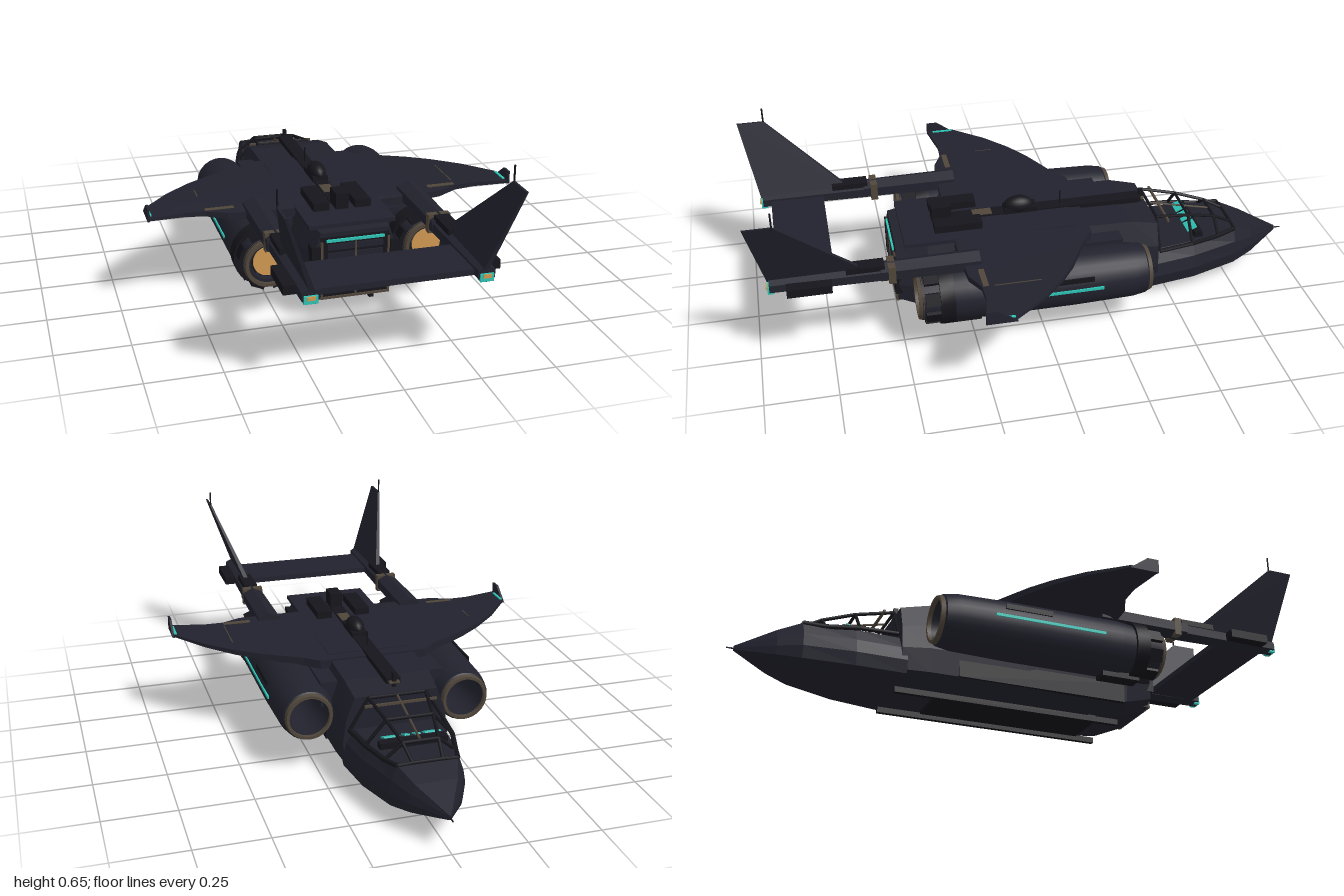
import * as THREE from 'three';
import { toCreasedNormals } from 'three/addons/utils/BufferGeometryUtils.js';

const mat = (name, color) => {
  const m = new THREE.MeshStandardMaterial({ color });
  m.name = name;
  return m;
};

export function createModel() {
  const hull = mat('hull navy', 0x22222e), dark = mat('dark trim', 0x15151b);
  const bronze = mat('bronze trim', 0x50463a), cyan = mat('cyan light', 0x2fc4b6);
  const orange = mat('exhaust glow', 0xd29a52);
  const root = new THREE.Group();
  root.name = 'aircraft';

  const add = (name, geo, m, x = 0, y = 0, z = 0) => {
    const mesh = new THREE.Mesh(geo, m);
    mesh.name = name;
    mesh.position.set(x, y, z);
    root.add(mesh);
    return mesh;
  };
  const box = (name, m, w, h, d, x, y, z) => add(name, new THREE.BoxGeometry(w, h, d), m, x, y, z);
  // cylinder lying along z
  const rod = (name, m, rBack, rFront, len, sides, x, y, z) => {
    const g = new THREE.CylinderGeometry(rBack, rFront, len, sides).rotateX(Math.PI / 2);
    return add(name, toCreasedNormals(g, 0.6), m, x, y, z);
  };
  const bar = (name, m, a, b, r = 0.006) => {
    const p = new THREE.Vector3(...a), q = new THREE.Vector3(...b);
    const mesh = add(name, new THREE.CylinderGeometry(r, r, p.distanceTo(q), 6), m);
    mesh.position.copy(p).lerp(q, 0.5);
    mesh.quaternion.setFromUnitVectors(new THREE.Vector3(0, 1, 0), q.sub(p).normalize());
  };
  const ring = (profile, sides = 28) => toCreasedNormals(
    new THREE.LatheGeometry(profile.map(p => new THREE.Vector2(...p)), sides).rotateX(Math.PI / 2), 0.5);
  const shape = pts => new THREE.Shape(pts.map(p => new THREE.Vector2(...p)));

  // Hull skinned through faceted cross-sections: [z, half width, bottom, top]
  const loft = (name, rows, m) => {
    const rings = rows.map(([z, w, b, t]) => {
      const h = t - b;
      const half = [[0.6 * w, b], [0.95 * w, b + 0.12 * h], [w, b + 0.4 * h], [0.94 * w, b + 0.7 * h], [0.78 * w, t]];
      return [...half, ...half.map(([x, y]) => [-x, y]).reverse()].map(([x, y]) => [x, y, z]);
    });
    const v = [], n = rings[0].length;
    const tri = (...p) => p.forEach(q => v.push(...q));
    for (let i = 0; i + 1 < rings.length; i++) {
      for (let j = 0; j < n; j++) {
        const k = (j + 1) % n, A = rings[i], B = rings[i + 1];
        tri(A[j], A[k], B[k]);
        tri(A[j], B[k], B[j]);
      }
    }
    const F = rings[0], L = rings[rings.length - 1];
    for (let j = 1; j + 1 < n; j++) {
      tri(F[0], F[j + 1], F[j]);
      tri(L[0], L[j], L[j + 1]);
    }
    const g = new THREE.BufferGeometry();
    g.setAttribute('position', new THREE.Float32BufferAttribute(v, 3));
    g.computeVertexNormals();
    return add(name, g, m);
  };

  // Fuselage
  loft('noseHull', [[-0.975, 0.004, 0.106, 0.122], [-0.85, 0.09, 0.065, 0.172], [-0.77, 0.128, 0.045, 0.2],
    [-0.6, 0.17, 0.03, 0.19], [-0.43, 0.187, 0.022, 0.18]], hull);
  loft('mainHull', [[-0.45, 0.185, 0.022, 0.295], [-0.35, 0.193, 0.02, 0.318], [0, 0.193, 0.02, 0.325],
    [0.3, 0.183, 0.024, 0.325], [0.39, 0.178, 0.032, 0.325], [0.5, 0.15, 0.075, 0.315]], hull);
  rod('noseProbe', dark, 0.004, 0.002, 0.04, 6, 0, 0.114, -0.98);
  box('dorsalSpine', dark, 0.05, 0.02, 0.72, 0, 0.327, -0.06);
  box('spinePatch', bronze, 0.036, 0.006, 0.09, 0, 0.326, -0.39);
  box('rearSpinePatch', bronze, 0.04, 0.006, 0.07, 0, 0.336, 0.17);
  box('deckPlate', hull, 0.3, 0.014, 0.62, 0, 0.325, 0.16);
  box('mast', dark, 0.012, 0.05, 0.016, 0, 0.335, -0.425);
  bar('deckAntenna', dark, [0, 0.33, -0.12], [0, 0.39, -0.12], 0.003);
  add('sensorDome', new THREE.SphereGeometry(1, 20, 12).scale(0.032, 0.035, 0.055), dark, 0, 0.352, 0.035);
  box('domeBase', dark, 0.056, 0.03, 0.12, 0, 0.335, 0.03);
  box('rearSensor', dark, 0.045, 0.06, 0.07, 0, 0.358, 0.32);

  // Rear ramp with frame, slats and light bar
  box('rampPanel', dark, 0.236, 0.22, 0.02, 0, 0.19, 0.493);
  for (let i = 0; i < 6; i++) box('rampSlat', hull, 0.19, 0.02, 0.01, 0, 0.11 + i * 0.031, 0.504);
  box('rampCentreStrip', bronze, 0.006, 0.2, 0.004, 0, 0.185, 0.51);
  box('rampFrameBottom', bronze, 0.24, 0.008, 0.008, 0, 0.083, 0.504);
  box('rampLight', cyan, 0.2, 0.009, 0.008, 0, 0.288, 0.506);

  // Cockpit
  box('instrumentPanel', dark, 0.23, 0.035, 0.03, 0, 0.195, -0.625);
  for (const [x, w] of [[-0.07, 0.055], [-0.018, 0.018], [0.018, 0.018], [0.07, 0.055]]) {
    const s = box('cockpitScreen', cyan, w, 0.005, 0.04, x, 0.218, -0.605);
    s.rotation.x = 0.4;
  }
  box('cockpitCrossbar', bronze, 0.25, 0.008, 0.008, 0, 0.283, -0.5);
  const arches = [[-0.7, 0.12, 0.19, 0.06, 0.24], [-0.59, 0.15, 0.19, 0.08, 0.272], [-0.46, 0.165, 0.185, 0.1, 0.294]];
  const nose = [-0.77, 0.1, 0.2, 0.05, 0.203];
  [nose, ...arches].forEach(([z, wb, yb, wt, yt], i, all) => {
    bar('canopyTop', dark, [-wt, yt, z], [wt, yt, z]);
    for (const s of [-1, 1]) {
      bar('canopyPost', dark, [s * wb, yb, z], [s * wt, yt, z]);
      if (i === 0) continue;
      const p = all[i - 1];
      bar('canopyRail', dark, [s * p[3], p[4], p[0]], [s * wt, yt, z]);
      bar('canopySill', dark, [s * p[1], p[2], p[0]], [s * wb, yb, z], 0.008);
    }
  });
  bar('canopyRidge', bronze, [0, 0.24, -0.7], [0, 0.294, -0.46], 0.004);

  // Wing: flat plan, thinned and raised toward the tips
  const edge = [[0.19, 0.19], [0.24, 0.15], [0.38, 0.075], [0.46, 0.02], [0.55, -0.06], [0.645, -0.175],
    [0.645, -0.275], [0.52, -0.25], [0.45, -0.252], [0.38, -0.285], [0.2, -0.295]];
  const wing = new THREE.ExtrudeGeometry(
    shape([...edge, ...edge.map(([x, y]) => [-x, y]).reverse()]), { depth: 1, bevelEnabled: false }).rotateX(-Math.PI / 2);
  const wp = wing.attributes.position;
  const wingY = (x, top) => {
    const t = Math.max(0, (Math.abs(x) - 0.2) / 0.445);
    return top ? 0.328 + 0.008 * t : 0.297 + 0.031 * t;
  };
  for (let i = 0; i < wp.count; i++) wp.setY(i, wingY(wp.getX(i), wp.getY(i) > 0.5));
  wing.computeVertexNormals();
  add('wing', wing, hull);

  // Extruded side profile in (z, y), centred on x
  const sideplate = (pts, thick) => new THREE.ExtrudeGeometry(shape(pts), { depth: thick, bevelEnabled: false })
    .rotateY(-Math.PI / 2).translate(thick / 2, 0, 0);

  for (const s of [-1, 1]) {
    const ex = s * 0.278, ey = 0.205;
    // Wing details
    add('winglet', sideplate([[0.17, 0.325], [0.275, 0.325], [0.275, 0.372], [0.235, 0.372]], 0.008), hull, s * 0.645);
    box('wingtipLight', cyan, 0.01, 0.006, 0.075, s * 0.637, 0.336, 0.215);
    box('flapPatch', bronze, 0.1, 0.004, 0.02, s * 0.4, 0.332, 0.238);
    box('flapSeam', bronze, 0.003, 0.003, 0.16, s * 0.452, 0.333, 0.13);

    // Engine nacelle, open from intake to nozzle
    add('nacelle', ring([[0.072, -0.37], [0.088, -0.355], [0.096, -0.31], [0.101, -0.1], [0.101, 0.28], [0.086, 0.44],
      [0.06, 0.44], [0.06, -0.2], [0.072, -0.37]]), hull, ex, ey);
    add('intakeRing', ring([[0.07, -0.374], [0.08, -0.374], [0.084, -0.36], [0.07, -0.36], [0.07, -0.374]]), bronze, ex, ey);
    add('nozzleRing', ring([[0.07, 0.435], [0.087, 0.435], [0.082, 0.452], [0.07, 0.452], [0.07, 0.435]]), bronze, ex, ey);
    add('nozzleCollar', ring([[0.09, 0.33], [0.106, 0.33], [0.106, 0.38], [0.09, 0.38], [0.09, 0.33]]), dark, ex, ey);
    rod('turbineHub', dark, 0.05, 0.03, 0.6, 24, ex, ey, 0.12);
    rod('exhaustGlow', orange, 0.051, 0.051, 0.006, 24, ex, ey, 0.425);
    for (let i = 0; i < 16; i++) {
      const a = i * Math.PI / 8;
      box('turbineVane', dark, 0.016, 0.005, 0.03, ex + 0.054 * Math.cos(a), ey + 0.054 * Math.sin(a), 0.4).rotation.z = a;
    }
    for (let i = 0; i < 8; i++) {
      const a = (i + 0.5) * Math.PI / 4;
      box('nozzlePetal', dark, 0.012, 0.045, 0.09, ex + 0.093 * Math.cos(a), ey + 0.093 * Math.sin(a), 0.385).rotation.z = a;
    }
    box('nacelleLug', dark, 0.055, 0.03, 0.14, ex, 0.106, 0.3);
    box('nacelleLight', cyan, 0.006, 0.01, 0.4, ex + s * 0.101, 0.212, 0.01);
    box('nacelleSidePanel', dark, 0.006, 0.018, 0.17, ex + s * 0.096, 0.25, -0.07);
    box('nacellePylon', hull, 0.06, 0.09, 0.6, s * 0.19, 0.25, 0);

    // Lower hull side sponson, skid and rear frame
    box('sponson', dark, 0.016, 0.07, 0.62, s * 0.182, 0.09, 0.06);
    box('skid', dark, 0.016, 0.02, 0.83, s * 0.1, 0.01, -0.035);
    for (const z of [-0.35, -0.04, 0.28]) box('skidStrut', dark, 0.012, 0.03, 0.03, s * 0.1, 0.022, z);
    box('rampFrameSide', bronze, 0.007, 0.2, 0.008, s * 0.115, 0.185, 0.504);
    box('rampHinge', dark, 0.03, 0.14, 0.05, s * 0.135, 0.2, 0.485);
    box('deckBox', dark, 0.056, 0.034, 0.17, s * 0.073, 0.342, 0.27);

    // Tail boom
    rod('boomFront', hull, 0.042, 0.046, 0.34, 6, s * 0.278, 0.325, 0.4).scale.y = 0.8;
    rod('boomRear', hull, 0.032, 0.038, 0.42, 6, s * 0.276, 0.322, 0.73).scale.y = 0.85;
    box('boomBand', bronze, 0.076, 0.064, 0.025, s * 0.277, 0.325, 0.532);
    box('boomShoulder', dark, 0.05, 0.02, 0.13, s * 0.278, 0.352, 0.62);
    box('tailLight', cyan, 0.044, 0.026, 0.022, s * 0.276, 0.312, 0.935);
    box('tailLightCore', orange, 0.026, 0.012, 0.008, s * 0.276, 0.318, 0.947);
    box('tailStub', dark, 0.06, 0.03, 0.15, s * 0.315, 0.322, 0.81);

    // Outward-canted fin
    const fin = sideplate([[0.62, 0.34], [0.945, 0.34], [1, 0.6], [0.905, 0.6]], 0.018);
    const fp = fin.attributes.position;
    for (let i = 0; i < fp.count; i++) {
      const t = (fp.getY(i) - 0.34) / 0.26;
      fp.setX(i, fp.getX(i) * (1 - 0.6 * t) + s * (0.272 + 0.092 * t));
    }
    fin.computeVertexNormals();
    add('tailFin', fin, hull);
    bar('finAntenna', dark, [s * 0.364, 0.59, 0.906], [s * 0.364, 0.652, 0.906], 0.003);
  }
  box('tailplane', hull, 0.53, 0.02, 0.19, 0, 0.318, 0.815);
  box('bellyPlate', dark, 0.15, 0.012, 0.6, 0, 0.014, 0);
  return root;
}
